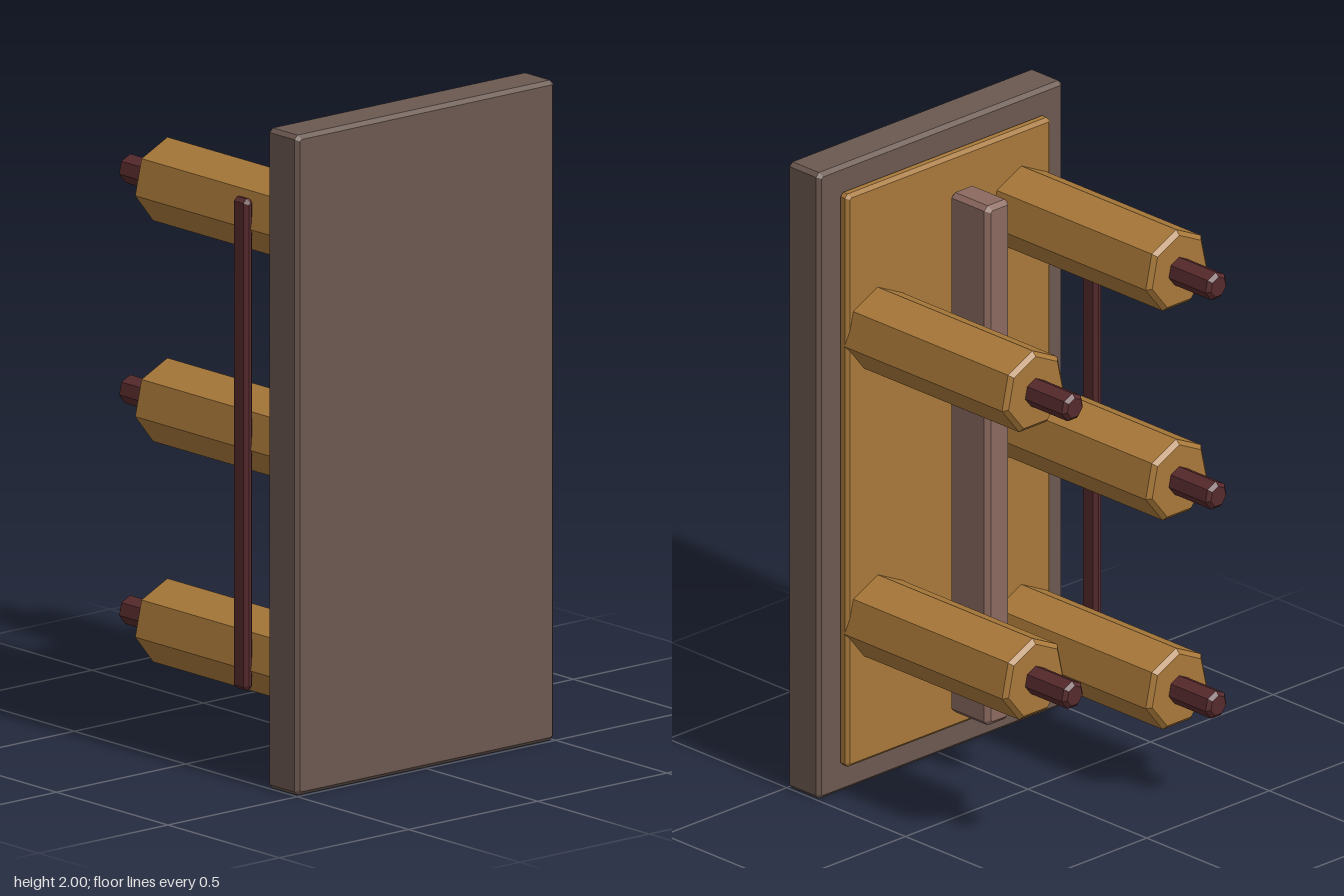
import * as THREE from 'three';

const material = (color) => new THREE.MeshStandardMaterial({ color, flatShading: true });

// Straight prism along z with chamfered ends, centred on the origin
function prism(points, depth, bevel) {
  const geometry = new THREE.ExtrudeGeometry(new THREE.Shape(points), {
    depth: depth - 2 * bevel, bevelEnabled: true, bevelSegments: 1,
    bevelSize: bevel, bevelThickness: bevel, bevelOffset: -bevel,
  });
  return geometry.translate(0, 0, bevel - depth / 2);
}

// Box with every edge chamfered
function chamferBox(w, h, d, c) {
  const x = w / 2, y = h / 2;
  const points = [
    [x, c - y], [x, y - c], [x - c, y], [c - x, y],
    [-x, y - c], [-x, c - y], [c - x, -y], [x - c, -y],
  ].map(([px, py]) => new THREE.Vector2(px, py));
  return prism(points, d, c);
}

// Seven-sided bar with a corner pointing up
function sevenSided(radius, depth, bevel) {
  const points = [];
  for (let i = 0; i < 7; i++) {
    const a = Math.PI / 2 + (i / 7) * Math.PI * 2;
    points.push(new THREE.Vector2(radius * Math.cos(a), radius * Math.sin(a)));
  }
  return prism(points, depth, bevel);
}

export function createModel() {
  const group = new THREE.Group();
  const boardBrown = material(0x6b5850);
  const ochre = material(0xa87839);
  const postBrown = material(0x8b695f);
  const darkRed = material(0x562a2c);

  const add = (name, geometry, mat, x, y, z) => {
    const mesh = new THREE.Mesh(geometry, mat);
    mesh.name = name;
    mesh.position.set(x, y, z);
    group.add(mesh);
  };

  // Front board and the thin plate behind it
  add('frontBoard', chamferBox(1, 2, 0.135, 0.012), boardBrown, 0, 1, 0.4325);
  add('backPlate', chamferBox(0.834, 1.83, 0.04, 0.011), ochre, 0, 1.003, 0.35);

  // Central post and slim side rod
  add('centrePost', chamferBox(0.098, 1.66, 0.165, 0.014), postBrown, 0, 1.003, 0.2025);
  add('sideRod', chamferBox(0.034, 1.49, 0.066, 0.012), darkRed, -0.418, 0.99, 0.162);

  // Staggered pegs, each with a narrow pin at its tip
  const pegGeometry = sevenSided(0.128, 0.695, 0.013);
  const pinGeometry = sevenSided(0.044, 0.24, 0.011);
  const columns = [[-0.293, [1.672, 1.003, 0.335]], [0.293, [1.462, 0.543]]];
  for (const [x, heights] of columns) {
    for (const y of heights) {
      add('peg', pegGeometry, ochre, x, y, 0.0125);
      add('pegPin', pinGeometry, darkRed, x, y, -0.38);
    }
  }
  return group;
}
